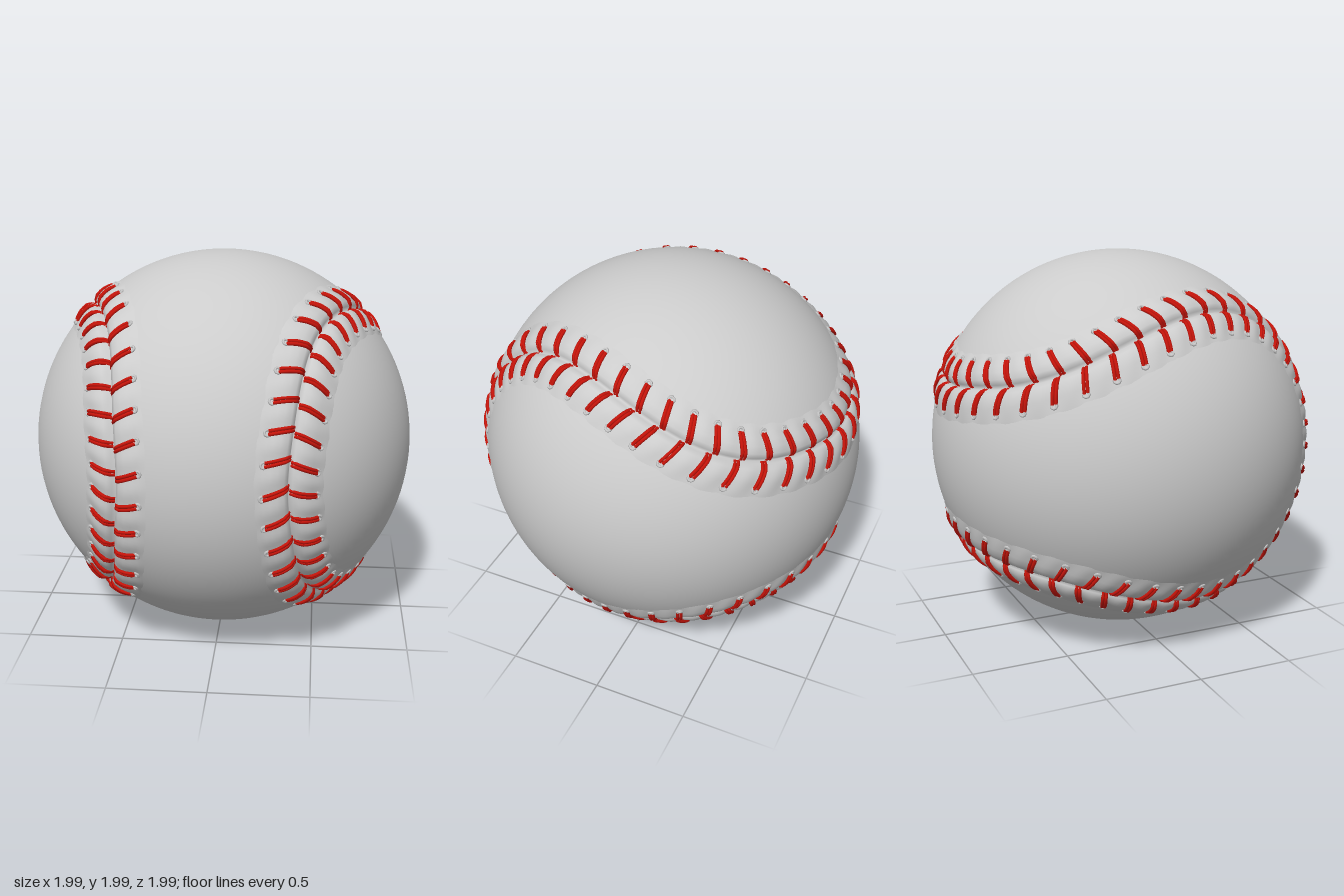
import * as THREE from 'three';
import { mergeGeometries } from 'three/addons/utils/BufferGeometryUtils.js';

const R = 0.995, A = 0.43, HALF = 0.2, SLANT = 0.3;
const smooth = THREE.MathUtils.smoothstep;

// Closed seam line on the unit sphere: two lobes, waists at front and back
const seam = new THREE.CatmullRomCurve3(Array.from({ length: 240 }, (_, i) => {
  const t = i / 240 * Math.PI * 4;
  const polar = Math.PI / 2 - (Math.PI / 2 - A) * Math.cos(t);
  const az = t / 2 + A * Math.sin(2 * t);
  return new THREE.Vector3(Math.sin(polar) * Math.cos(az), Math.sin(polar) * Math.sin(az), Math.cos(polar));
}), true);
seam.arcLengthDivisions = 2000;
const length = seam.getLength();
const count = Math.round(length / 0.138);
const pitch = length / count;

// Padded leather beside the seam: [distance from seam, radius]
const profile = [[0, 0.97], [0.012, 0.994], [0.035, 1.006], [0.07, 1.01], [0.105, 1.006],
  [0.135, 1.0], [0.165, 0.9965], [HALF, 0.989]];

function radius(d) {
  const i = Math.max(1, profile.findIndex(p => p[0] >= d - 1e-6));
  const [d0, r0] = profile[i - 1], [d1, r1] = profile[i];
  return r0 + (r1 - r0) * (d - d0) / (d1 - d0);
}

// Arc shift of a stitch at distance d on one side (stitches form chevrons)
const lag = (d, side) => SLANT * d + (side < 0 ? 0.2 * pitch : 0);

// Point at arc length s along the seam, signed distance d across it
function surfacePoint(s, d, lift = 0) {
  const u = ((s / length) % 1 + 1) % 1;
  const n = seam.getPointAt(u).normalize();
  const side = n.clone().cross(seam.getTangentAt(u)).normalize();
  const a = Math.abs(d);
  const wave = Math.cos(2 * Math.PI * (s + lag(a, d)) / pitch);
  const press = 0.004 * wave * smooth(a, 0.01, 0.05) * (1 - smooth(a, 0.12, 0.19));
  return n.multiplyScalar(Math.cos(d)).addScaledVector(side, Math.sin(d))
    .normalize().multiplyScalar(radius(a) - press + lift);
}

// Leather ball, sunk under the seam band
function ballGeometry() {
  const line = seam.getSpacedPoints(300).map(p => p.normalize());
  const geo = new THREE.SphereGeometry(1, 96, 64);
  const pos = geo.attributes.position, v = new THREE.Vector3();
  for (let i = 0; i < pos.count; i++) {
    v.fromBufferAttribute(pos, i).normalize();
    let d = 9;
    for (const p of line) d = Math.min(d, v.distanceTo(p));
    v.multiplyScalar(R - 0.05 * (1 - smooth(d, 0.06, 0.14)));
    pos.setXYZ(i, v.x, v.y, v.z);
  }
  return geo;
}

// Raised band with a groove, swept along the seam
function bandGeometry() {
  const across = [...profile.slice(1).reverse().map(p => -p[0]), ...profile.map(p => p[0])];
  const rows = count * 8, w = across.length, pos = [], index = [];
  for (let i = 0; i < rows; i++) {
    for (const d of across) pos.push(...surfacePoint(i / rows * length, d).toArray());
    const a = i * w, b = ((i + 1) % rows) * w;
    for (let j = 0; j < w - 1; j++) {
      index.push(a + j, b + j, b + j + 1, a + j, b + j + 1, a + j + 1);
    }
  }
  const geo = new THREE.BufferGeometry();
  geo.setAttribute('position', new THREE.Float32BufferAttribute(pos, 3));
  geo.setIndex(index);
  geo.computeVertexNormals();
  return geo;
}

export function createModel() {
  const leather = new THREE.MeshStandardMaterial({ color: 0xcccccc });
  const red = new THREE.MeshStandardMaterial({ color: 0xc8140a });
  const model = new THREE.Group();
  model.name = 'stitchedBall';
  const add = (name, geo, mat) => {
    const mesh = new THREE.Mesh(geo, mat);
    mesh.name = name;
    model.add(mesh);
  };

  add('leatherBall', ballGeometry(), leather);
  add('seamBand', bandGeometry(), leather);

  // Stitches: two threads each, ending in a punched hole rim
  const threads = [], rims = [], zAxis = new THREE.Vector3(0, 0, 1);
  for (let k = 0; k < count; k++) {
    for (const side of [-1, 1]) {
      const at = (d, off, lift) => surfacePoint(k * pitch - lag(d, side) + off, side * d, lift);
      for (const off of [-0.008, 0.008]) {
        const path = new THREE.CatmullRomCurve3([
          at(0.006, off, -0.004), at(0.03, off, 0.006), at(0.065, off, 0.007),
          at(0.1, off, 0.007), at(0.132, off, 0.002)]);
        threads.push(new THREE.TubeGeometry(path, 6, 0.009, 6));
      }
      const p = at(0.137, 0, 0.002);
      const rim = new THREE.TorusGeometry(0.014, 0.007, 5, 8);
      rim.applyQuaternion(new THREE.Quaternion().setFromUnitVectors(zAxis, p.clone().normalize()));
      rims.push(rim.translate(p.x, p.y, p.z));
    }
  }
  add('stitchThreads', mergeGeometries(threads), red);
  add('stitchHoleRims', mergeGeometries(rims), leather);

  model.rotation.set(-0.06, -0.035, 0);
  model.position.y = 1;
  const root = new THREE.Group();
  root.name = 'ball';
  root.add(model);
  return root;
}
